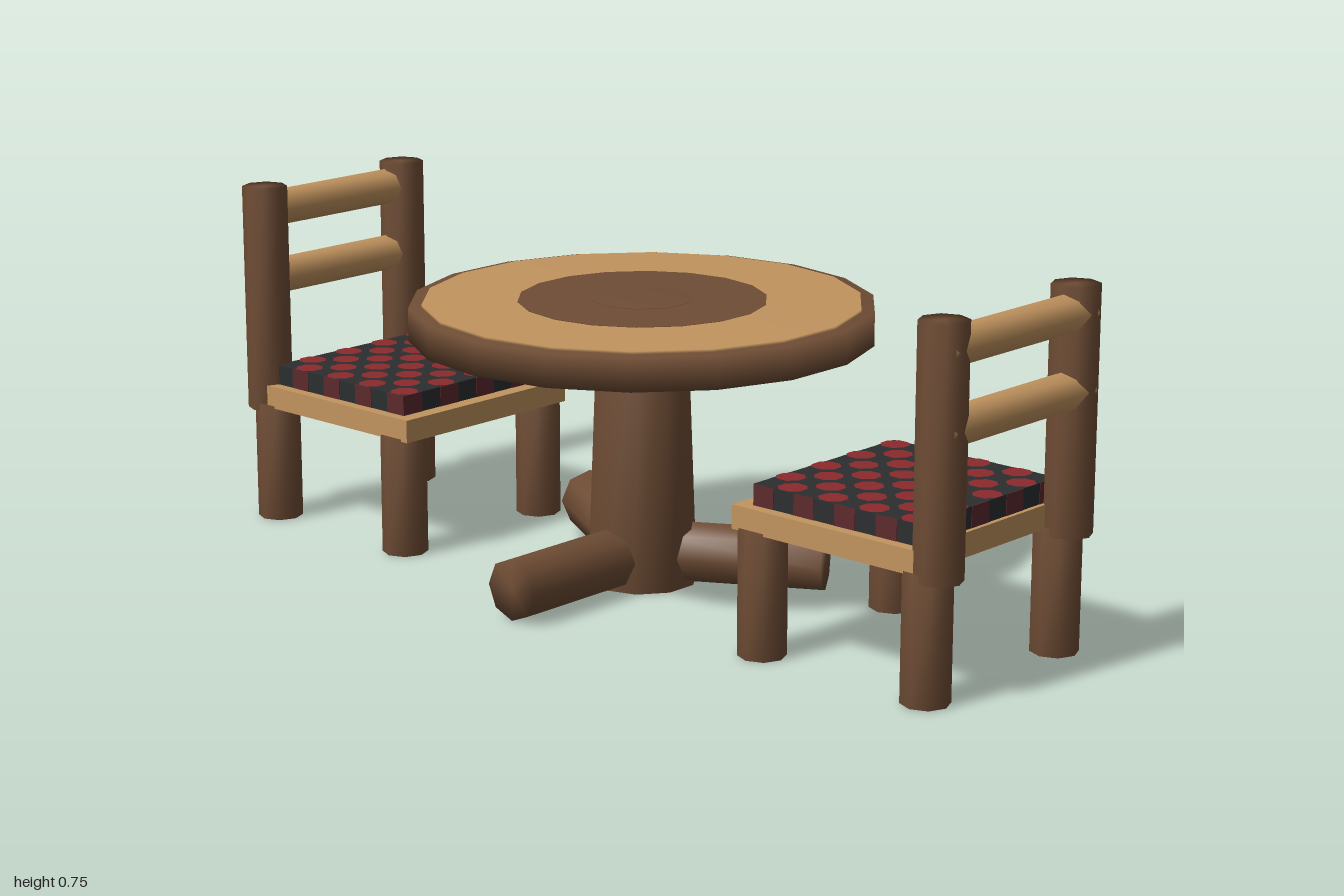
import * as THREE from 'three';
import { mergeVertices } from 'three/addons/utils/BufferGeometryUtils.js';

const mat = (name, color, extra = {}) =>
  Object.assign(new THREE.MeshStandardMaterial({ color, ...extra }), { name });

// Low-poly log whose normals flow over the rim
function log(rTop, rBottom, height, sides) {
  const g = new THREE.CylinderGeometry(rTop, rBottom, height, sides);
  g.deleteAttribute('uv');
  g.deleteAttribute('normal');
  const soft = mergeVertices(g);
  soft.computeVertexNormals();
  return soft;
}

function add(parent, name, geometry, material, x = 0, y = 0, z = 0) {
  const m = new THREE.Mesh(geometry, material);
  m.name = name;
  m.position.set(x, y, z);
  parent.add(m);
  return m;
}

export function createModel() {
  const bark = mat('bark brown', 0x6f4d35);
  const tan = mat('pale wood', 0xc2945f);
  const charcoal = mat('charcoal cloth', 0x2b2e2f);
  const red = mat('red cloth', 0x8c2a2d);
  const maroon = mat('maroon cloth', 0x5c2a2d);

  const model = new THREE.Group();
  model.name = 'tableAndChairs';

  // Round table
  const table = new THREE.Group();
  table.name = 'table';
  model.add(table);
  add(table, 'pedestal', log(0.098, 0.118, 0.54, 10), bark, 0, 0.27, 0);
  add(table, 'tableTop', log(0.49, 0.49, 0.07, 18), bark, 0, 0.57, 0);
  add(table, 'topInlay', log(0.462, 0.462, 0.008, 18), tan, 0, 0.607, 0);
  add(table, 'innerRing', log(0.262, 0.262, 0.004, 18), bark, 0, 0.6105, 0);
  add(table, 'centreDisc', log(0.108, 0.108, 0.004, 10), bark, 0, 0.612, 0);

  // Three logs spreading from the foot of the pedestal
  for (let i = 0; i < 3; i++) {
    const arm = new THREE.Group();
    arm.name = 'footArm';
    arm.rotation.y = (i * Math.PI * 2) / 3;
    const foot = add(arm, 'footLog', log(0.066, 0.066, 0.36, 8), bark, 0, 0.066, 0.215);
    foot.rotation.x = Math.PI / 2;
    table.add(arm);
  }

  // Chair with its back toward +x
  function makeChair() {
    const chair = new THREE.Group();
    chair.name = 'chair';
    const leg = log(0.05, 0.05, 0.265, 8);
    const post = log(0.05, 0.05, 0.505, 8);
    const slat = log(0.041, 0.041, 0.45, 8);

    for (const side of [-1, 1]) {
      add(chair, 'frontLeg', leg, bark, 0.515, 0.1325, side * 0.208);
      add(chair, 'backLeg', leg, bark, 0.926, 0.1325, side * 0.208);
      add(chair, 'backPost', post, bark, 0.95, 0.5025, side * 0.208);
    }
    for (const y of [0.545, 0.7]) {
      add(chair, 'backSlat', slat, tan, 0.955, y, 0).rotation.x = Math.PI / 2;
    }
    add(chair, 'seatFrame', new THREE.BoxGeometry(0.455, 0.05, 0.49), tan, 0.6925, 0.285, 0);

    // Checked cushion: round patches on top, bands on the sides
    const w = 0.41, d = 0.44, h = 0.044, cx = 0.705, cy = 0.332, n = 8;
    const cw = w / n, cd = d / n;
    add(chair, 'cushion', new THREE.BoxGeometry(w, h, d), charcoal, cx, cy, 0);
    const patch = new THREE.CircleGeometry(0.031, 8, Math.PI / 8);
    patch.rotateX(-Math.PI / 2);
    const sideBand = new THREE.BoxGeometry(0.002, h, cd);
    const frontBand = new THREE.BoxGeometry(cw, h, 0.002);
    for (let i = 0; i < n; i++) {
      for (let j = 0; j < n; j++) {
        if ((i + j) % 2) continue;
        add(chair, 'redPatch', patch, red,
          cx - w / 2 + (i + 0.5) * cw, cy + h / 2 + 0.0015, -d / 2 + (j + 0.5) * cd);
      }
      for (const s of [-1, 1]) {
        if (i % 2 === 0) {
          add(chair, 'sideBand', sideBand, maroon, cx + s * w / 2, cy, -d / 2 + (i + 0.5) * cd);
          add(chair, 'endBand', frontBand, maroon, cx - w / 2 + (i + 0.5) * cw, cy, s * d / 2);
        }
      }
    }
    return chair;
  }

  // A pair of chairs facing each other
  for (const turn of [0, Math.PI]) {
    const chair = makeChair();
    chair.rotation.y = turn;
    model.add(chair);
  }
  return model;
}
